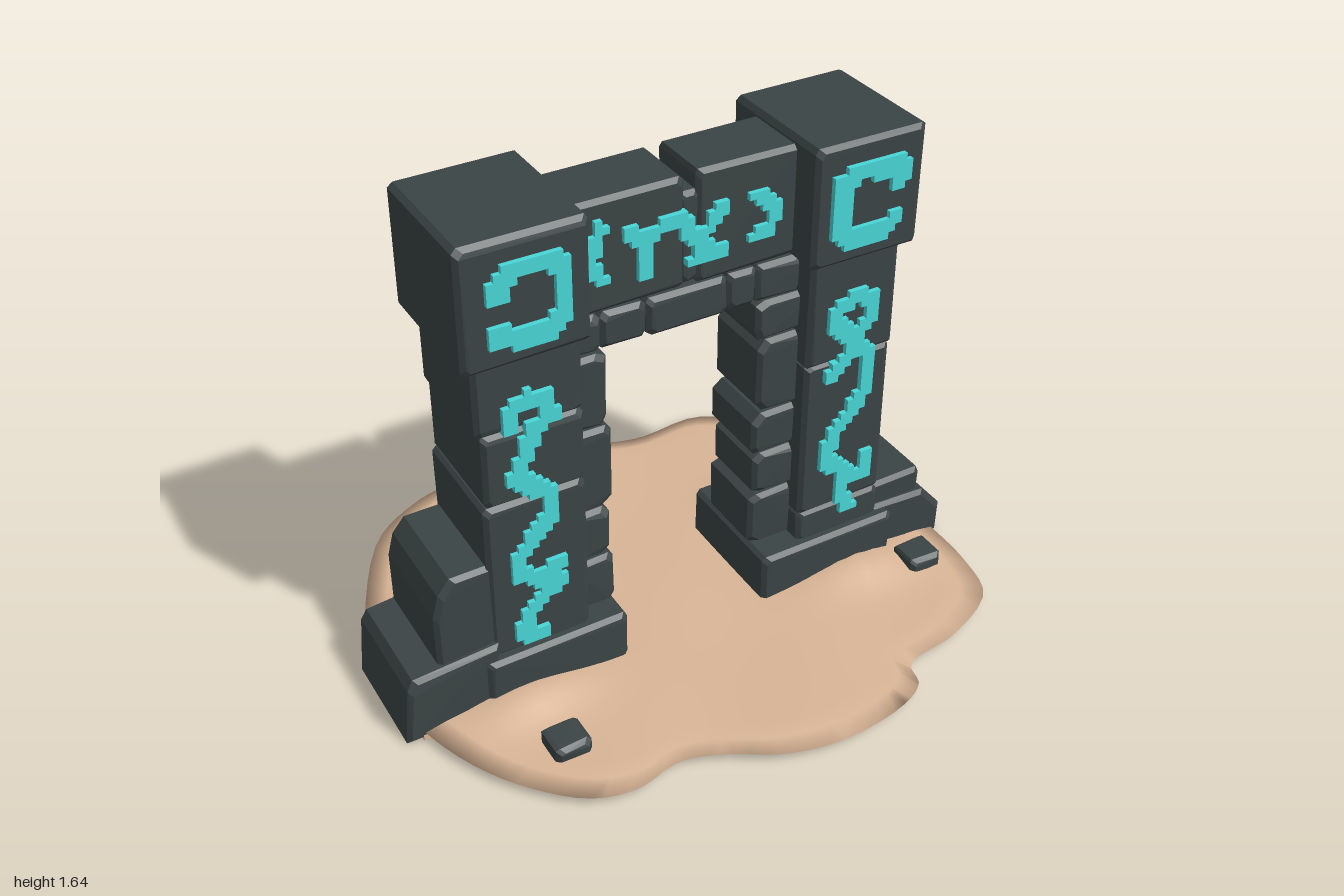
import * as THREE from 'three';
import { mergeGeometries } from 'three/addons/utils/BufferGeometryUtils.js';
import { ConvexGeometry } from 'three/addons/geometries/ConvexGeometry.js';

const ZC = 0.012; // depth centre of the masonry

export function createModel() {
  const model = new THREE.Group();
  model.name = 'ruinedGateway';
  const mat = (name, color) => {
    const m = new THREE.MeshStandardMaterial({ color });
    m.name = name;
    return m;
  };
  const stoneMat = mat('darkStone', 0x3b4445);
  const glowMat = mat('turquoiseRune', 0x48d6d8);
  const sandMat = mat('sand', 0xd9b596);

  let seed = 7;
  const rand = () => (seed = (seed * 16807) % 2147483647) / 2147483647;
  const add = (name, geo, material, parent = model) => {
    const m = new THREE.Mesh(geo, material);
    m.name = name;
    parent.add(m);
    return m;
  };

  // Chiselled stone: convex hull of a bevelled profile, slightly irregular
  function rock(name, profile, half, zc = ZC, bevel = 0.014, rough = 0.008) {
    const c = new THREE.Vector2();
    profile.forEach(([x, y]) => c.add(new THREE.Vector2(x, y).divideScalar(profile.length)));
    const pts = [];
    for (const [x, y] of profile) {
      for (const s of [-1, 1]) {
        const wear = rand() * rough;
        const ix = x - Math.sign(x - c.x) * bevel, iy = y - Math.sign(y - c.y) * bevel;
        pts.push(new THREE.Vector3(ix, iy, zc + s * (half - wear)));
        pts.push(new THREE.Vector3(x, y, zc + s * (half - bevel - wear)));
      }
    }
    return add(name, new ConvexGeometry(pts), stoneMat);
  }

  // Rectangular stone with clipped, worn corners
  function block(name, x0, x1, y0, y1, half, zc = ZC, chip = 0.012) {
    const k = () => chip * (0.5 + rand());
    const p = [];
    for (const [x, sx] of [[x0, 1], [x1, -1]]) {
      for (const [y, sy] of [[y0, 1], [y1, -1]]) {
        p.push([x + sx * k(), y], [x, y + sy * k()]);
      }
    }
    return rock(name, p, half, zc);
  }

  // Rune: strokes stepped onto a small square grid, raised on front and back
  function rune(name, strokes, half, width = 0.052) {
    const cell = 0.0225, parts = [];
    const segs = [];
    const box = new THREE.Box2();
    for (const s of strokes) {
      for (let i = 0; i < s.length; i += 2) {
        const b = new THREE.Vector2(s[i], s[i + 1]);
        box.expandByPoint(b);
        if (i) segs.push([new THREE.Vector2(s[i - 2], s[i - 1]), b]);
      }
    }
    box.expandByScalar(width);
    const filled = (x, y) => segs.some(([a, b]) => {
      const p = new THREE.Vector2(x, y), d = b.clone().sub(a);
      const t = THREE.MathUtils.clamp(p.clone().sub(a).dot(d) / d.lengthSq(), 0, 1);
      return p.distanceTo(a.clone().addScaledVector(d, t)) < width / 2;
    });
    for (let y = box.min.y; y < box.max.y; y += cell) {
      let start = null;
      for (let x = box.min.x; x < box.max.x + cell; x += cell) {
        const on = filled(x, y);
        if (on && start === null) start = x;
        if (!on && start !== null) {
          for (const s of [-1, 1]) {
            parts.push(new THREE.BoxGeometry(x - start, cell, 0.04)
              .translate((x + start - cell) / 2, y, ZC + s * (half - 0.006)));
          }
          start = null;
        }
      }
    }
    add(name, mergeGeometries(parts), glowMat);
  }

  // Sand patch: closed polar sheet with drifts banked against the plinths
  const outline = new THREE.CatmullRomCurve3([
    [0.96, 0], [0.97, 0.2], [0.96, 0.4], [0.91, 0.56], [0.7, 0.67], [0.5, 0.71], [0.47, 0.79],
    [0.38, 0.84], [0.14, 0.87], [-0.05, 0.83], [-0.21, 0.74], [-0.34, 0.7], [-0.5, 0.73],
    [-0.64, 0.69], [-0.8, 0.53], [-0.9, 0.35], [-0.96, 0.13], [-0.96, -0.19], [-0.89, -0.4],
    [-0.72, -0.7], [-0.56, -0.81], [-0.41, -0.855], [-0.13, -0.81], [-0.02, -0.86],
    [0.085, -0.88], [0.22, -0.8], [0.35, -0.765], [0.59, -0.775], [0.73, -0.68],
    [0.89, -0.43], [0.97, -0.24],
  ].map(([x, z]) => new THREE.Vector3(x, 0, z)), true);
  const K = 14;
  const sand = new THREE.PlaneGeometry(1, 1, 120, 2 * K);
  const pos = sand.attributes.position;
  for (let i = 0; i < pos.count; i++) {
    const row = Math.round((0.5 - pos.getY(i)) * 2 * K);
    const r = (row <= K ? row : 2 * K - row) / K;
    const p = outline.getPoint((0.5 - pos.getX(i)) % 1).multiplyScalar(r);
    let y = 0.02 + 0.008 * (r === 1);
    if (row < K) {
      const bank = Math.exp(-(((Math.abs(p.x) - 0.62) / 0.2) ** 2) - ((Math.abs(p.z) - 0.26) / 0.1) ** 2);
      y = 0.038 + 0.05 * bank * (1 - r ** 8) + 0.004 * Math.sin(p.x * 9 + 1) * Math.cos(p.z * 8);
    }
    pos.setXYZ(i, p.x, y, p.z);
  }
  sand.computeVertexNormals();
  add('sandPatch', sand, sandMat);
  for (const x of [-0.6, 0.6]) {
    add('sandUnderPlinth', new THREE.BoxGeometry(0.7, 0.02, 0.42).translate(x, 0.01, ZC), sandMat);
  }

  // Plinths, with rubble heaped on the outer sides
  block('leftmostPlinth', -0.73, -0.25, 0.004, 0.205, 0.225);
  block('rightmostPlinth', 0.25, 0.76, 0.004, 0.205, 0.225);
  rock('rubbleSlab', [[-1, 0], [-0.98, 0.2], [-0.96, 0.235], [-0.68, 0.26], [-0.68, 0]], 0.2, 0.02);
  rock('rubbleBoulder', [[-0.87, 0.2], [-0.87, 0.42], [-0.85, 0.5], [-0.81, 0.55], [-0.66, 0.55], [-0.66, 0.2]], 0.185);
  rock('rubbleSlab', [[1, 0], [1, 0.12], [0.92, 0.21], [0.7, 0.22], [0.7, 0]], 0.19, 0.01);
  rock('rubbleBoulder', [[0.91, 0.1], [0.915, 0.27], [0.9, 0.3], [0.7, 0.3], [0.7, 0.1]], 0.17, 0.01);

  // Pillars: stacked stones with uneven outer edges
  const leftCourses = [[0.19, 0.76, -0.695], [0.755, 1.01, -0.685], [1.005, 1.27, -0.7]];
  for (const [y0, y1, x] of leftCourses) block('pillarStone', x, -0.365, y0, y1, 0.19);
  const rightCourses = [[0.19, 0.31, 0.72], [0.305, 0.88, 0.715], [0.875, 1.27, 0.72]];
  for (const [y0, y1, x] of rightCourses) block('pillarStone', 0.4, x, y0, y1, 0.19);

  // Door jambs
  const jamb = (x0, x1, joints, dir) => {
    for (let i = 0; i < joints.length - 1; i++) {
      const inset = 0.012 * (i % 2);
      block('jambStone', x0 + (dir < 0 ? inset : 0), x1 - (dir > 0 ? inset : 0),
        joints[i] + 0.004, joints[i + 1] - 0.004, 0.13, ZC, 0.022);
    }
  };
  jamb(-0.42, -0.245, [0.19, 0.38, 0.57, 0.87, 1.13], 1);
  jamb(0.25, 0.44, [0.19, 0.4, 0.56, 0.72, 0.99, 1.13], -1);

  // Inner lintel
  const cuts = [-0.4, -0.265, -0.115, 0.155, 0.255, 0.42];
  for (let i = 0; i < 5; i++) block('innerLintelStone', cuts[i], cuts[i + 1], 1.12 + 0.006 * (i % 2), 1.245, 0.115);

  // Main lintel, cracked near the middle
  block('lintelStone', -0.38, 0.005, 1.255, 1.61, 0.117);
  block('lintelCrackStone', -0.01, 0.06, 1.26, 1.555, 0.112);
  block('lintelStone', 0.045, 0.4, 1.255, 1.615, 0.117);

  // Corner caps
  block('cornerCap', -0.74, -0.35, 1.25, 1.64, 0.226);
  block('cornerCap', 0.37, 0.75, 1.25, 1.64, 0.226);

  // Loose stones half sunk in the sand
  for (const [x, z] of [[-0.6, 0.48], [-0.6, -0.35], [-0.6, -0.485], [0.815, 0.315]]) {
    block('looseStone', x - 0.06, x + 0.06, 0.012, 0.085, 0.062, z, 0.01);
  }

  // Runes on the caps
  rune('capRune', [[-0.63, 1.49, -0.62, 1.53, -0.57, 1.55, -0.48, 1.55, -0.44, 1.52, -0.44, 1.37,
    -0.48, 1.33, -0.57, 1.33, -0.61, 1.36, -0.635, 1.36]], 0.226, 0.062);
  rune('capRune', [[0.65, 1.49, 0.65, 1.54, 0.5, 1.55, 0.45, 1.52, 0.45, 1.38, 0.5, 1.33,
    0.6, 1.33, 0.65, 1.37]], 0.226, 0.062);

  // Runes on the lintel
  rune('lintelRune', [
    [-0.27, 1.525, -0.295, 1.48, -0.3, 1.42, -0.275, 1.365],
    [-0.175, 1.495, -0.13, 1.44, -0.08, 1.48, -0.02, 1.5, 0.015, 1.43, 0.06, 1.42, 0.1, 1.46, 0.115, 1.5],
    [-0.13, 1.44, -0.13, 1.35],
    [0.06, 1.42, 0.06, 1.37, 0.03, 1.34],
    [0.06, 1.4, 0.1, 1.35, 0.13, 1.35],
    [0.24, 1.495, 0.285, 1.46, 0.295, 1.41, 0.27, 1.37, 0.235, 1.37],
  ], 0.117, 0.044);

  // Runes on the pillars
  rune('pillarRune', [
    [-0.6, 1.03, -0.595, 1.08, -0.55, 1.11, -0.49, 1.1, -0.475, 1.03, -0.53, 1, -0.55, 0.95, -0.59, 0.85,
      -0.55, 0.81, -0.485, 0.76, -0.49, 0.68, -0.55, 0.62, -0.605, 0.56, -0.59, 0.49, -0.52, 0.45, -0.475, 0.49],
    [-0.52, 0.45, -0.475, 0.42, -0.53, 0.38, -0.585, 0.32, -0.595, 0.26, -0.54, 0.24],
  ], 0.19);
  rune('pillarRune', [
    [0.5, 0.99, 0.49, 1.06, 0.55, 1.105, 0.62, 1.08, 0.625, 1.02, 0.57, 0.97, 0.5, 0.99],
    [0.57, 0.97, 0.56, 0.92, 0.48, 0.83],
    [0.56, 0.92, 0.62, 0.88, 0.625, 0.76, 0.58, 0.69, 0.51, 0.62, 0.48, 0.5, 0.55, 0.46, 0.57, 0.41,
      0.635, 0.41, 0.64, 0.47],
    [0.55, 0.46, 0.55, 0.36, 0.585, 0.29],
  ], 0.19);

  return model;
}
